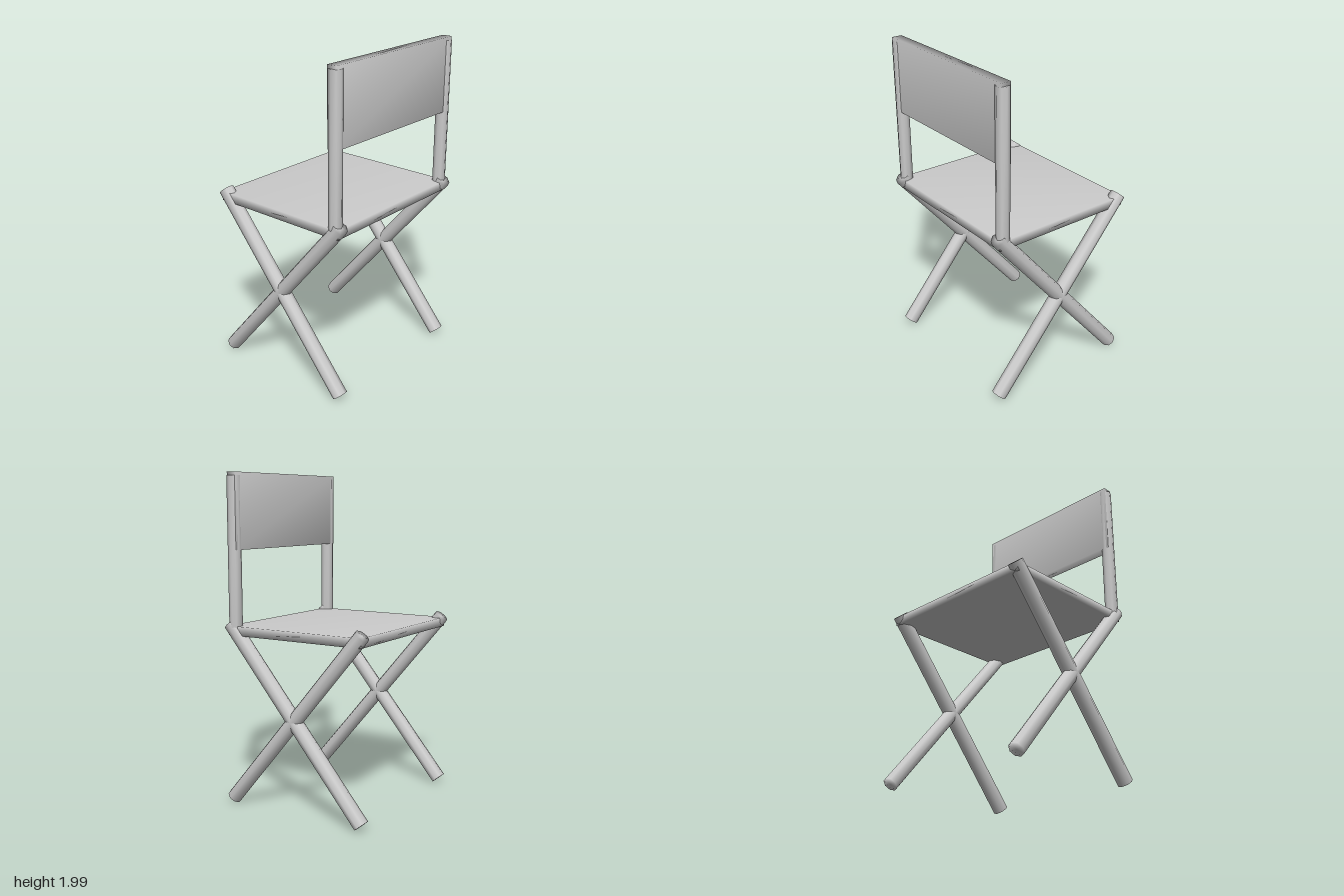
import * as THREE from 'three';
import { mergeVertices } from 'three/addons/utils/BufferGeometryUtils.js';

const grey = new THREE.MeshStandardMaterial({ color: 0xcccccc });

// Weld corners so the shading runs smoothly over every edge
function smooth(geometry) {
  geometry.deleteAttribute('uv');
  geometry.deleteAttribute('normal');
  const welded = mergeVertices(geometry, 1e-4);
  welded.computeVertexNormals();
  return welded;
}

function part(name, geometry) {
  const mesh = new THREE.Mesh(smooth(geometry), grey);
  mesh.name = name;
  return mesh;
}

// Round bar between two points
function bar(name, from, to, radius, sides) {
  const a = new THREE.Vector3(...from);
  const b = new THREE.Vector3(...to);
  const dir = b.clone().sub(a);
  const mesh = part(name, new THREE.CylinderGeometry(radius, radius, dir.length(), sides));
  mesh.position.copy(a).add(b).multiplyScalar(0.5);
  mesh.quaternion.setFromUnitVectors(new THREE.Vector3(0, 1, 0), dir.normalize());
  return mesh;
}

export function createModel() {
  const chair = new THREE.Group();
  chair.name = 'foldingChair';

  // Crossed legs and a back post on each side
  for (const [side, s] of [['left', 1], ['right', -1]]) {
    const x = 0.495 * s;
    chair.add(
      bar(side + 'LegToFront', [x, 0.036, 0.453], [x, 1.11, -0.453], 0.046, 8),
      bar(side + 'LegToBack', [x, 0.036, -0.453], [x, 1.11, 0.453], 0.046, 8),
      bar(side + 'BackPost', [x, 1.07, 0.418], [x, 1.98, 0.418], 0.04, 8)
    );
  }

  // Seat panel
  const seat = part('seat', new THREE.BoxGeometry(1.04, 0.056, 0.915));
  seat.position.set(0, 1.073, -0.003);
  chair.add(seat);

  // Backrest panel
  const backrest = part('backrest', new THREE.BoxGeometry(1.04, 0.45, 0.062));
  backrest.position.set(0, 1.775, 0.414);
  chair.add(backrest);

  return chair;
}
